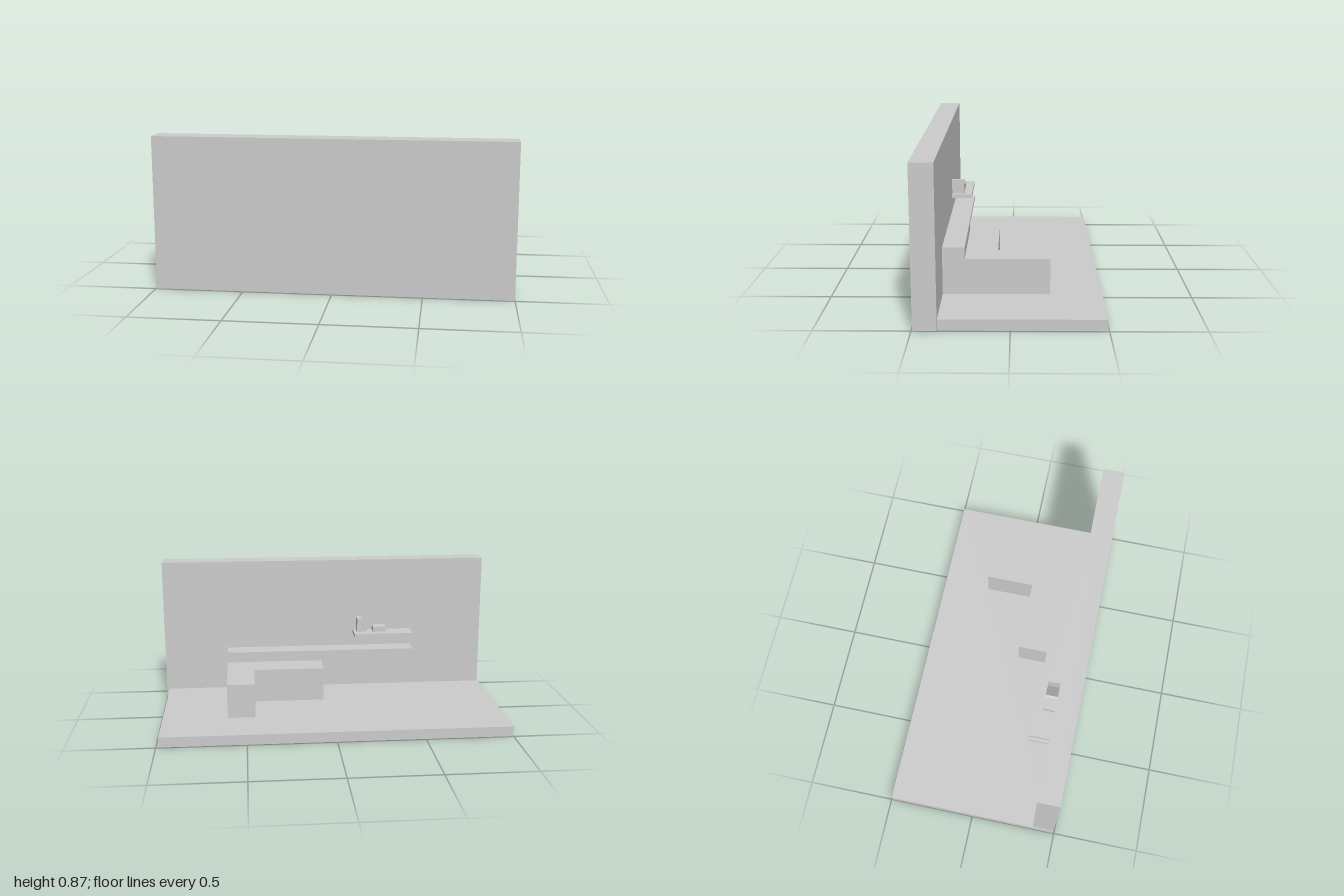
import * as THREE from 'three';

const material = new THREE.MeshStandardMaterial({ color: 0xcccccc, flatShading: true });

export function createModel() {
  const group = new THREE.Group();

  // box given by its lower and upper limits on each axis
  function block(name, [x0, x1], [y0, y1], [z0, z1]) {
    const mesh = new THREE.Mesh(new THREE.BoxGeometry(x1 - x0, y1 - y0, z1 - z0), material);
    mesh.position.set((x0 + x1) / 2, (y0 + y1) / 2, (z0 + z1) / 2);
    mesh.name = name;
    group.add(mesh);
    return mesh;
  }

  // outline extruded by depth
  function extrusion(name, points, depth) {
    const shape = new THREE.Shape(points.map(([x, y]) => new THREE.Vector2(x, y)));
    const geometry = new THREE.ExtrudeGeometry(shape, { depth, bevelEnabled: false });
    const mesh = new THREE.Mesh(geometry, material);
    mesh.name = name;
    group.add(mesh);
    return mesh;
  }

  const wallZ = 0.37;

  // room shell
  block('floor', [-1, 0.985], [0, 0.058], [-0.495, 0.493]);
  block('wall', [-0.995, 1], [0.001, 0.867], [wallZ, 0.495]);

  // L-shaped counter, drawn in plan (x, -z) and laid flat
  const counter = extrusion('counter', [
    [0.03, -wallZ], [0.61, -wallZ], [0.61, 0.212], [0.45, 0.212], [0.45, -0.073], [0.03, -0.073],
  ], 0.199);
  counter.rotation.x = -Math.PI / 2;
  counter.position.y = 0.058;

  // long ledge: raised on the counter, then a thin overhanging plank
  const ledge = extrusion('ledge', [
    [0.03, 0.257], [0.61, 0.257], [0.61, 0.32], [-0.545, 0.32], [-0.545, 0.298], [0.03, 0.298],
  ], 0.121);
  ledge.position.z = 0.249;

  // wall shelf with books
  block('wallShelf', [-0.545, -0.18], [0.398, 0.42], [0.249, wallZ]);
  block('uprightBook', [-0.23, -0.2], [0.42, 0.505], [0.297, wallZ]);
  block('flatBook', [-0.38, -0.3], [0.42, 0.452], [0.297, wallZ]);
  const leaningBook = extrusion('leaningBook', [
    [-0.243, 0.42], [-0.232, 0.432], [-0.306, 0.49], [-0.317, 0.478],
  ], 0.073);
  leaningBook.position.z = 0.297;

  return group;
}
